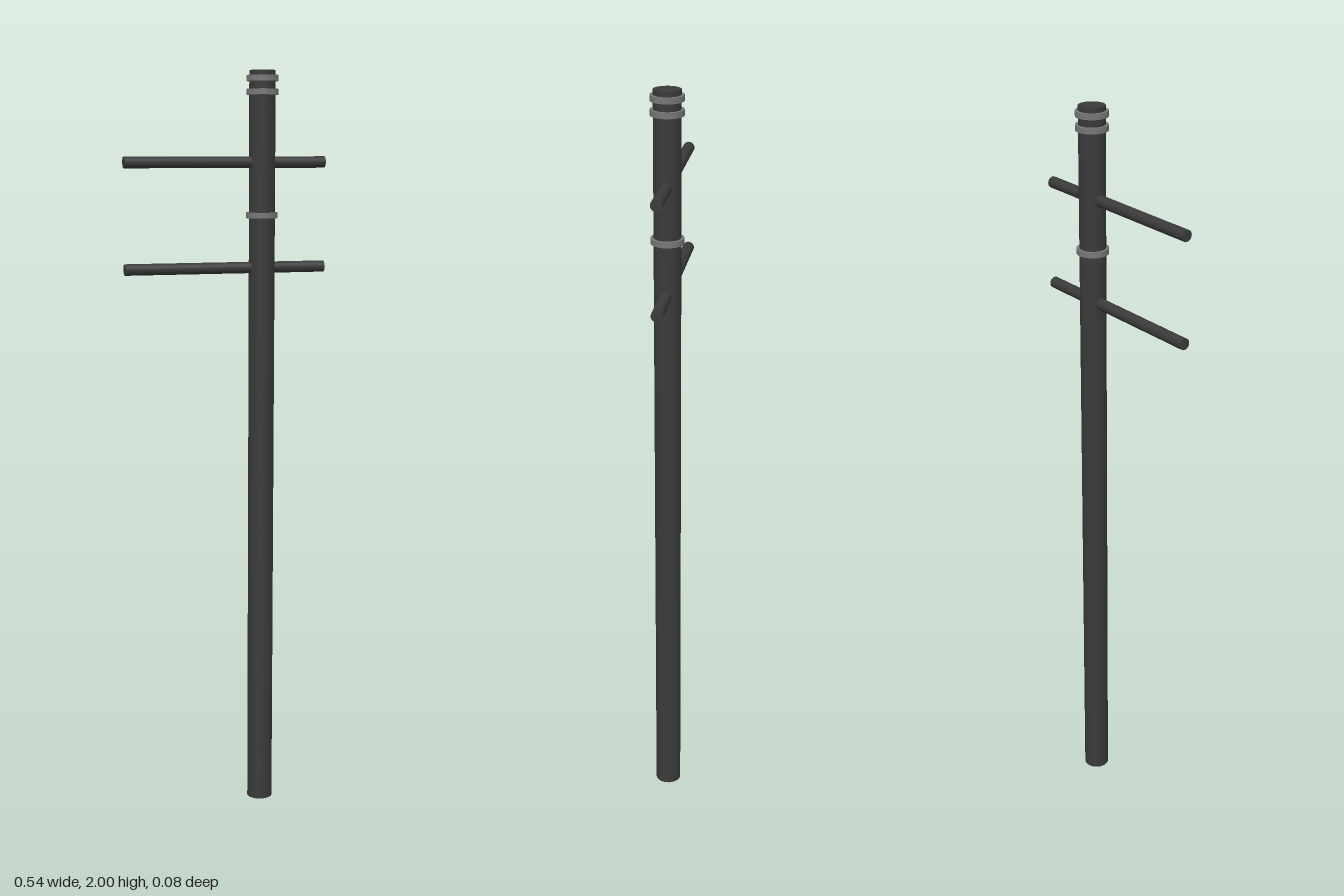
import * as THREE from 'three';

const POLE_X = 0.1;

export function createModel() {
  const model = new THREE.Group();
  const dark = new THREE.MeshStandardMaterial({ color: 0x3a3a3a });
  const grey = new THREE.MeshStandardMaterial({ color: 0x777777 });

  const addRod = (name, radius, length, material, x, y) => {
    const mesh = new THREE.Mesh(new THREE.CylinderGeometry(radius, radius, length, 32), material);
    mesh.name = name;
    mesh.position.set(x, y, 0);
    model.add(mesh);
    return mesh;
  };

  // Upright pole, offset towards the model's left
  addRod('pole', 0.0345, 2, dark, POLE_X, 1);

  // Collars around the pole
  [1.98, 1.945, 1.627].forEach((y, i) => addRod(`collar${i + 1}`, 0.042, 0.015, grey, POLE_X, y));

  // Crossbars running through the pole
  [1.765, 1.49].forEach((y, i) => {
    addRod(`crossbar${i + 1}`, 0.015, 0.544, dark, 0, y).rotation.z = Math.PI / 2;
  });

  return model;
}
